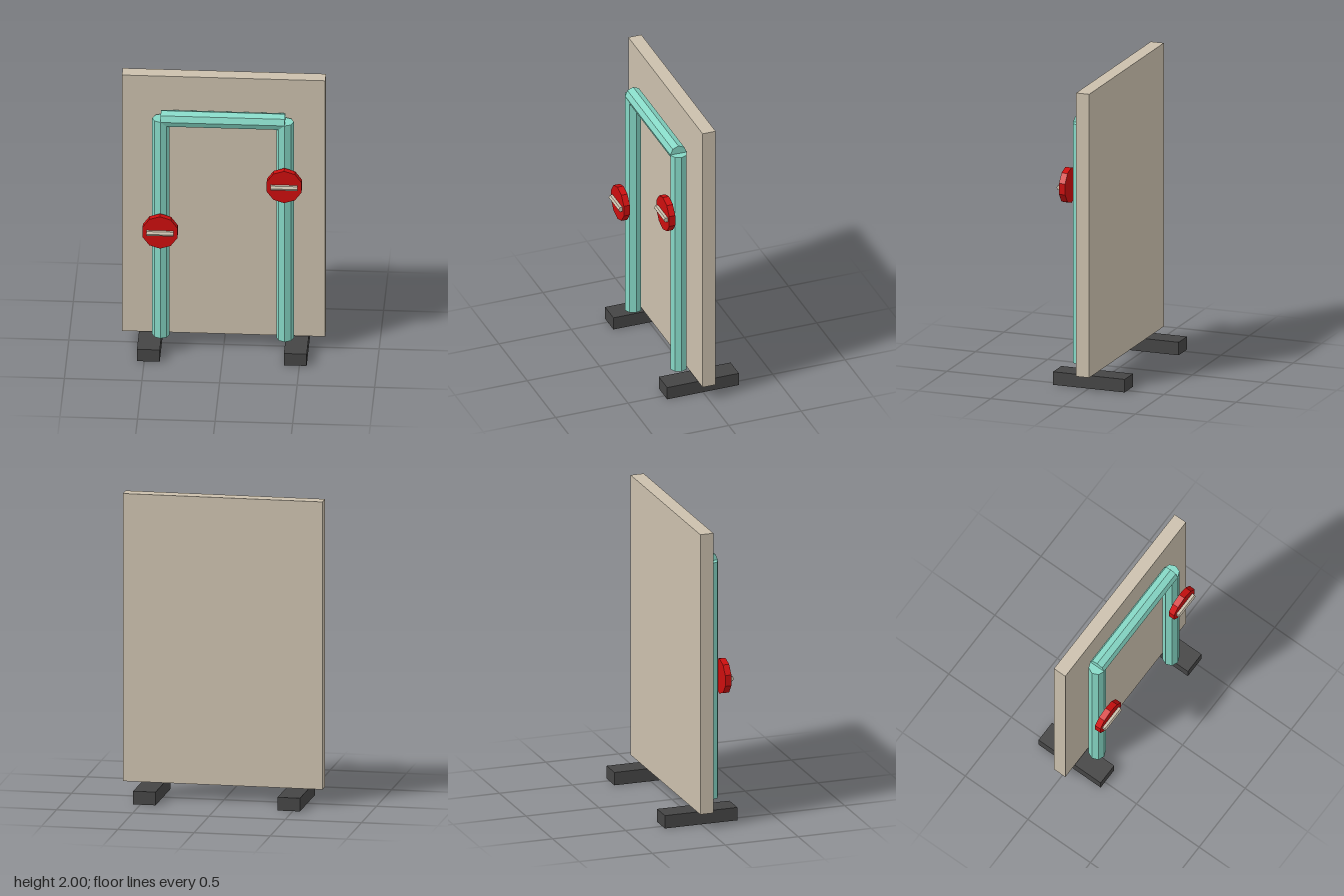
import * as THREE from 'three';

const makeMaterial = (name, color) => {
  const m = new THREE.MeshStandardMaterial({ color });
  m.name = name;
  m.flatShading = true;
  return m;
};

export function createModel() {
  const beige = makeMaterial('beige', 0xcbc0ad);
  const teal = makeMaterial('teal', 0x86d8c6);
  const red = makeMaterial('red', 0xcc0e0e);
  const charcoal = makeMaterial('charcoal', 0x454545);

  const model = new THREE.Group();
  model.name = 'pipePanel';

  const add = (name, geometry, material, x, y, z, parent = model) => {
    const mesh = new THREE.Mesh(geometry, material);
    mesh.name = name;
    mesh.position.set(x, y, z);
    parent.add(mesh);
    return mesh;
  };

  // Upright board
  add('panel', new THREE.BoxGeometry(1.31, 1.895, 0.09), beige, 0, 1.0525, 0);

  // Eight-sided pipes: two uprights joined by a crossbar
  const pipeX = 0.4, pipeZ = 0.112, pipeR = 0.056, pipeTop = 1.727, pipeBottom = 0.127;
  const pipe = (length) => new THREE.CylinderGeometry(pipeR, pipeR, length, 8);
  add('topPipe', pipe(2 * pipeX).rotateZ(Math.PI / 2), teal, 0, pipeTop, pipeZ);

  for (const [side, s, valveY] of [['left', 1, 1.303], ['right', -1, 0.94]]) {
    add(side + 'Foot', new THREE.BoxGeometry(0.147, 0.087, 0.496), charcoal, s * 0.4735, 0.0435, 0);
    add(side + 'Pipe', pipe(pipeTop - pipeBottom), teal, s * pipeX, (pipeTop + pipeBottom) / 2, pipeZ);

    // Ten-sided valve wheel with a raised grip bar
    const valve = new THREE.Group();
    valve.name = side + 'Valve';
    valve.position.set(s * pipeX, valveY, 0);
    model.add(valve);
    add('wheel', new THREE.CylinderGeometry(0.118, 0.118, 0.042, 10).rotateX(Math.PI / 2), red, 0, 0, 0.199, valve);
    add('grip', new THREE.CylinderGeometry(0.018, 0.018, 0.174, 6).rotateZ(Math.PI / 2), beige, 0, 0, 0.229, valve);
  }
  return model;
}
